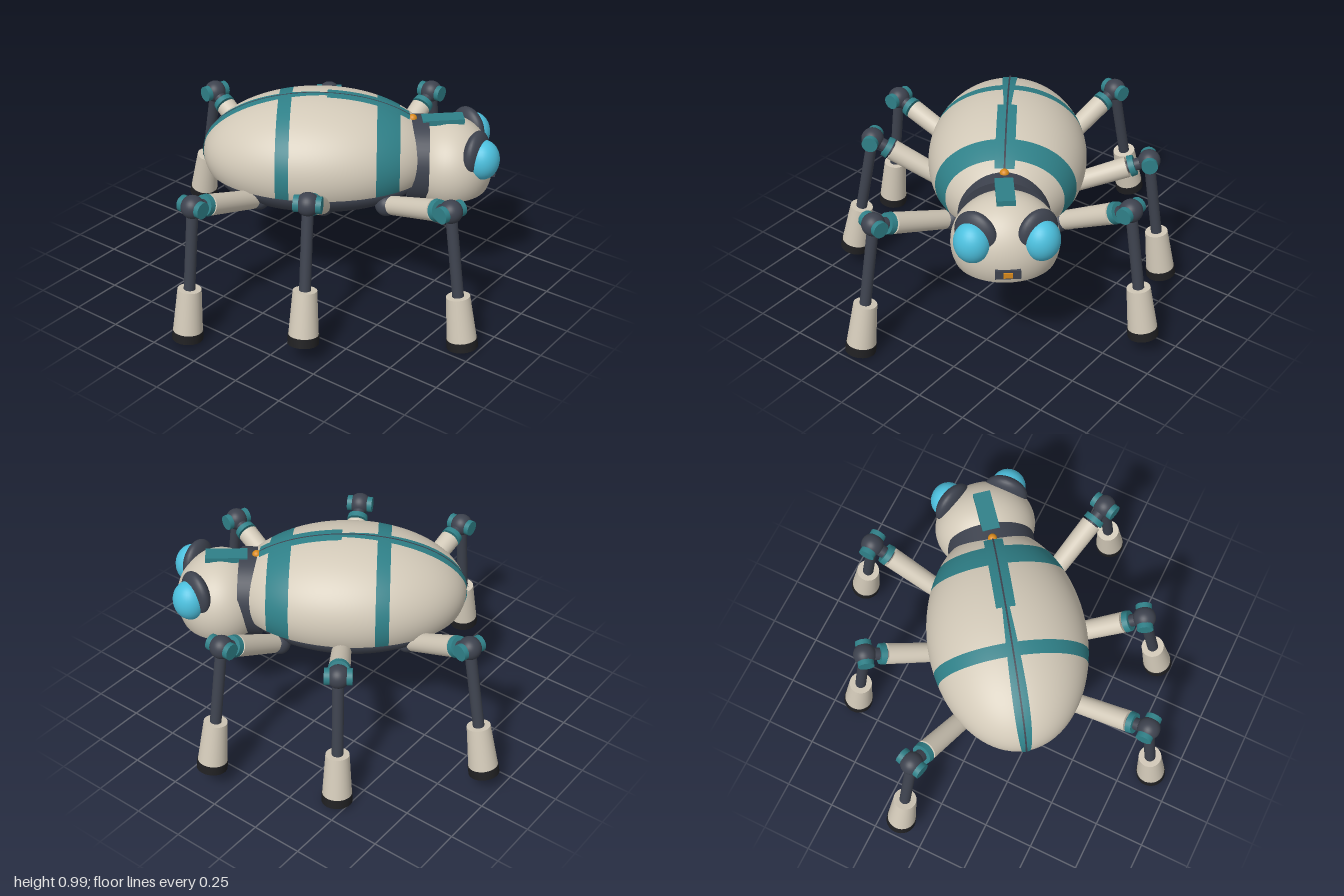
import * as THREE from 'three';
import { ParametricGeometry } from 'three/addons/geometries/ParametricGeometry.js';

const mat = (name, color, extra = {}) => {
  const m = new THREE.MeshStandardMaterial({ color, ...extra });
  m.name = name;
  return m;
};
const V = (x, y, z) => new THREE.Vector3(x, y, z);

export function createModel() {
  const cream = mat('cream', 0xd2c9b8);
  const teal = mat('teal', 0x2f8088);
  const dark = mat('slate', 0x3d424e);
  const black = mat('rubber', 0x202022);
  const blue = mat('eye blue', 0x4cc0de);
  const orange = mat('orange', 0xd98a1c);

  const root = new THREE.Group();
  root.name = 'robotBeetle';

  const add = (parent, name, geo, material, x = 0, y = 0, z = 0) => {
    const m = new THREE.Mesh(geo, material);
    m.name = name;
    m.position.set(x, y, z);
    parent.add(m);
    return m;
  };
  // cylinder running from a to b
  const rod = (parent, name, a, b, ra, rb, material) => {
    const d = b.clone().sub(a);
    const m = add(parent, name, new THREE.CylinderGeometry(rb, ra, d.length(), 28), material);
    m.position.copy(a).addScaledVector(d, 0.5);
    m.quaternion.setFromUnitVectors(V(0, 1, 0), d.normalize());
    return m;
  };
  const ball = (parent, name, r, material, x, y, z) =>
    add(parent, name, new THREE.SphereGeometry(r, 32, 20), material, x, y, z);

  // ---- body, turned on its stance ----
  const YAW = THREE.MathUtils.degToRad(35);
  const body = new THREE.Group();
  body.name = 'body';
  body.rotation.y = YAW;
  root.add(body);

  const A = 0.561, B = 0.384, H = 0.302, CY = 0.68, CZ = -0.028, CUT = 0.6;

  // slice of the ellipsoid shell between two z positions, trimmed at CUT
  const shellBand = (name, z0, z1, material) => {
    const t0 = Math.asin(THREE.MathUtils.clamp((z0 - CZ) / A, -1, 1));
    const t1 = Math.asin(THREE.MathUtils.clamp((z1 - CZ) / A, -1, 1));
    const surface = (u, v, p) => {
      const t = t0 + (t1 - t0) * u, r = Math.max(Math.cos(t), 1e-4);
      const low = Math.asin(Math.max(-1, (CUT - CY) / (H * r)));
      const phi = low + (Math.PI - 2 * low) * v;
      p.set(-B * r * Math.cos(phi), CY + H * r * Math.sin(phi), CZ + A * Math.sin(t));
    };
    add(body, name, new ParametricGeometry(surface, 20, 56), material);
  };
  shellBand('shellRear', -1, -0.222, cream);
  shellBand('shellRearStripe', -0.222, -0.158, teal);
  shellBand('shellMiddle', -0.158, 0.25, cream);
  shellBand('shellFrontStripe', 0.25, 0.36, teal);
  shellBand('shellFront', 0.36, 1, cream);

  // strip along the spine; angles run in degrees from the nose over the back
  const spine = (name, d0, d1, halfWidth, lift, material) => {
    const surface = (u, v, p) => {
      const t = THREE.MathUtils.degToRad(d0 + (d1 - d0) * v);
      const x = halfWidth(v) * (2 * u - 1);
      const k = Math.sqrt(1 - (x / B) ** 2);
      p.set(x, CY + (H * k + lift) * Math.sin(t), CZ + (A * k + lift) * Math.cos(t));
    };
    add(body, name, new ParametricGeometry(surface, 6, 48), material);
  };
  const twoSided = mat('teal trim', 0x2f8088, { side: THREE.DoubleSide });
  const seamDark = mat('slate seam', 0x3d424e, { side: THREE.DoubleSide });
  spine('spineRear', 85, 192, v => 0.017 + 0.02 * Math.sin(Math.PI * Math.min(1, v * 1.05)), 0.004, twoSided);
  spine('spineFront', 40, 86, () => 0.046, 0.007, twoSided);
  spine('spineSeam', 40, 180, () => 0.004, 0.01, seamDark);
  ball(body, 'spineLamp', 0.022, orange, 0, 0.862, 0.42);

  // underside hull
  const hull = add(body, 'hull', new THREE.LatheGeometry(
    [[0, 0.5], [0.74, 0.5], [0.76, 0.502], [0.87, 0.54], [0.955, 0.612], [0, 0.614]]
      .map(([x, y]) => new THREE.Vector2(x, y)), 64), dark, 0, 0, CZ);
  hull.scale.set(B, 1, A);

  // neck collar
  const collar = add(body, 'collar', new THREE.CylinderGeometry(0.215, 0.215, 0.1, 48), dark, 0, 0.65, 0.45);
  collar.rotation.x = Math.PI / 2;

  // ---- head, turned slightly more than the body ----
  const head = new THREE.Group();
  head.name = 'head';
  head.position.z = 0.48;
  head.rotation.y = 0.09;
  body.add(head);

  const HY = 0.62, HH = 0.235, HZ = 0.12, drop = -0.4;
  const dome = add(head, 'headDome',
    new THREE.SphereGeometry(1, 48, 32, 0, Math.PI * 2, 0, Math.acos(drop)), cream, 0, HY, HZ);
  dome.scale.set(0.25, HH, 0.215);
  const base = add(head, 'headBase', new THREE.CircleGeometry(Math.sqrt(1 - drop * drop), 48), cream, 0, HY + drop * HH, HZ);
  base.rotation.x = Math.PI / 2;
  base.scale.set(0.25, 0.215, 1);

  const crest = add(head, 'headPlate', new THREE.BoxGeometry(0.085, 0.026, 0.2), teal, 0, 0.857, 0.085);
  crest.rotation.x = -0.03;

  for (const s of [-1, 1]) {
    const turn = s * 0.58;
    const socket = ball(head, 'eyeSocket', 1, dark, s * 0.137, 0.732, 0.232);
    socket.scale.set(0.108, 0.118, 0.05);
    socket.rotation.y = turn;
    const eye = ball(head, 'eye', 1, blue, s * 0.155, 0.713, 0.262);
    eye.scale.set(0.086, 0.098, 0.08);
    eye.rotation.y = turn;
  }
  add(head, 'mouthPlate', new THREE.BoxGeometry(0.115, 0.044, 0.04), dark, 0, 0.587, 0.325);
  add(head, 'mouthLamp', new THREE.BoxGeometry(0.042, 0.026, 0.02), orange, 0, 0.587, 0.342);

  // ---- legs: hip in body space, knee and sole posed in a tripod gait ----
  const legs = [
    ['frontLeftLeg', [0.25, 0.3], [0.775, 0.745, 0.105], [0.882, 0.1, 0.112]],
    ['middleLeftLeg', [0.26, 0], [0.56, 0.682, -0.395], [0.638, 0.022, -0.445]],
    ['rearLeftLeg', [0.21, -0.31], [0.1, 0.745, -0.788], [0.132, 0.1, -0.928]],
    ['frontRightLeg', [-0.25, 0.3], [-0.145, 0.682, 0.817], [-0.17, 0.022, 0.928]],
    ['middleRightLeg', [-0.26, 0], [-0.57, 0.748, 0.335], [-0.682, 0.1, 0.39]],
    ['rearRightLeg', [-0.21, -0.31], [-0.81, 0.682, -0.138], [-0.887, 0.022, -0.138]],
  ];
  for (const [name, [hx, hz], k, f] of legs) {
    const leg = new THREE.Group();
    leg.name = name;
    root.add(leg);
    const hip = V(hx, 0.525, hz).applyAxisAngle(V(0, 1, 0), YAW);
    const knee = V(...k), sole = V(...f);
    const up = knee.clone().sub(hip), L = up.length();
    up.normalize();
    const thigh = d => hip.clone().addScaledVector(up, d);
    const down = knee.clone().sub(sole).normalize();
    const shin = d => sole.clone().addScaledVector(down, d);

    ball(leg, 'hipJoint', 0.054, dark, hip.x, hip.y, hip.z);
    rod(leg, 'thigh', thigh(0.05), thigh(L - 0.11), 0.046, 0.051, cream);
    rod(leg, 'thighNeck', thigh(L - 0.12), knee, 0.03, 0.03, dark);
    rod(leg, 'thighRing', thigh(L - 0.1), thigh(L - 0.072), 0.053, 0.05, teal);

    // knee with sideways axle
    ball(leg, 'knee', 0.055, dark, knee.x, knee.y, knee.z);
    const side = V(up.z, 0, -up.x).normalize().multiplyScalar(0.064);
    rod(leg, 'kneeAxle', knee.clone().sub(side), knee.clone().add(side), 0.039, 0.039, teal);

    rod(leg, 'shin', shin(0.2), knee, 0.027, 0.027, dark);
    rod(leg, 'cuff', shin(0.035), shin(0.25), 0.07, 0.056, cream);
    rod(leg, 'foot', shin(-0.008), shin(0.036), 0.073, 0.073, black);
  }

  return root;
}
